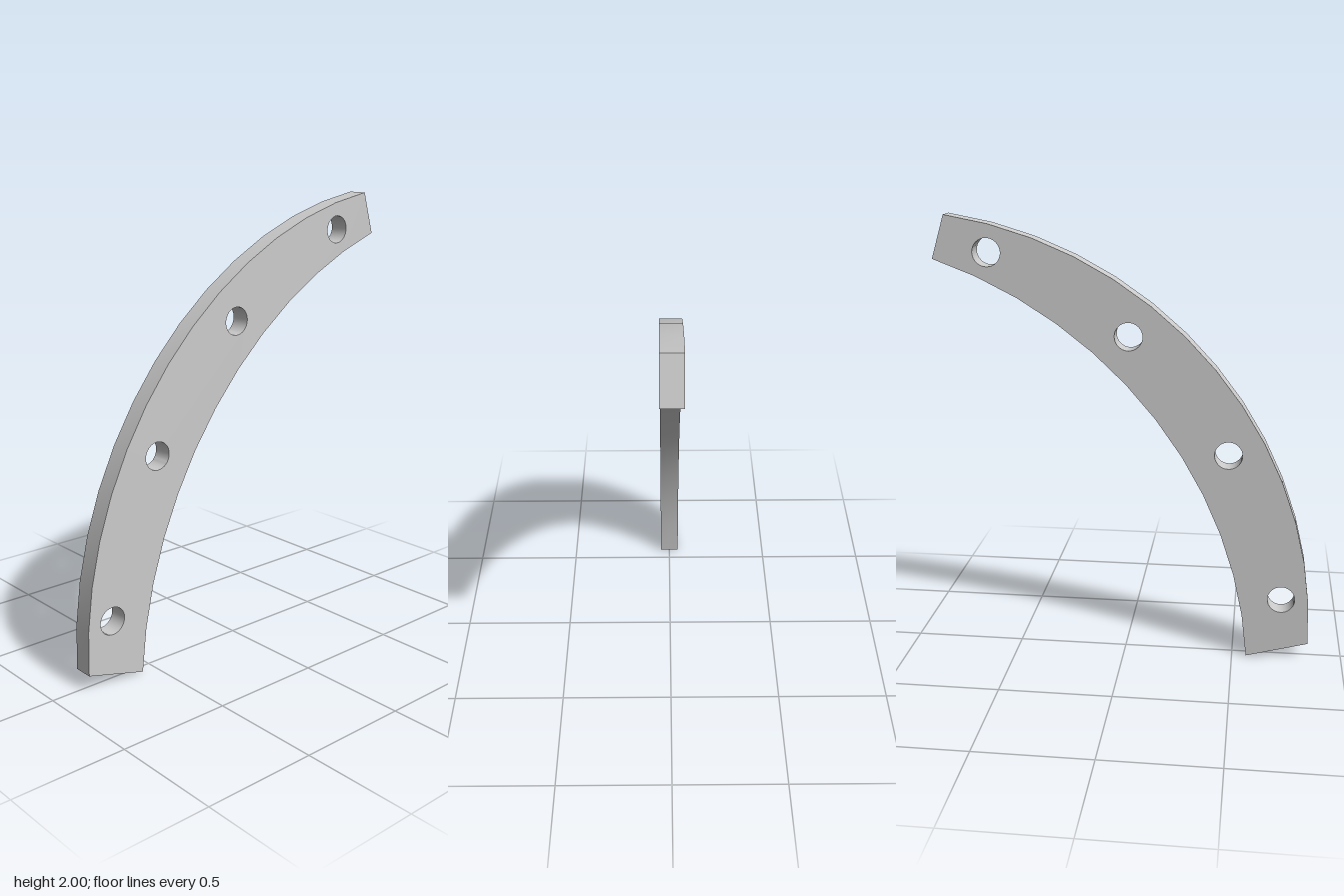
import * as THREE from 'three';
import { toCreasedNormals } from 'three/addons/utils/BufferGeometryUtils.js';

const THICKNESS = 0.09;
const HOLE_RADIUS = 0.062;
const HOLES = [[-0.717, 0.288], [-0.462, 0.964], [-0.016, 1.486], [0.602, 1.841]];

// Points of a clockwise arc from a to b that rises by sagitta above its chord
function arcPoints(a, b, sagitta, segments) {
  const chord = b.clone().sub(a);
  const length = chord.length();
  const radius = length * length / (8 * sagitta) + sagitta / 2;
  const inward = new THREE.Vector2(chord.y, -chord.x).normalize();
  const centre = a.clone().add(b).multiplyScalar(0.5).addScaledVector(inward, radius - sagitta);
  const start = a.clone().sub(centre).angle();
  const sweep = 2 * Math.asin(length / 2 / radius);
  return Array.from({ length: segments + 1 }, (_, i) => {
    const t = start - sweep * i / segments;
    return new THREE.Vector2(centre.x + radius * Math.cos(t), centre.y + radius * Math.sin(t));
  });
}

export function createModel() {
  const group = new THREE.Group();
  group.name = 'curvedBracket';

  // Outline: outer arc, slanted end, inner arc back, slanted foot
  const outer = arcPoints(new THREE.Vector2(-0.845, 0.075), new THREE.Vector2(0.785, 2), 0.482, 14);
  const inner = arcPoints(new THREE.Vector2(-0.565, 0), new THREE.Vector2(0.842, 1.81), 0.349, 12);
  const shape = new THREE.Shape([...outer, ...inner.reverse()]);

  // Bolt holes along the strip
  for (const [x, y] of HOLES) {
    shape.holes.push(new THREE.Path().absarc(x, y, HOLE_RADIUS, 0, Math.PI * 2, false));
  }

  // Flat plate with smooth curved walls and sharp rims
  const geometry = new THREE.ExtrudeGeometry(shape, {
    depth: THICKNESS, bevelEnabled: false, curveSegments: 16,
  });
  geometry.translate(0, 0, -THICKNESS / 2);
  const plate = new THREE.Mesh(
    toCreasedNormals(geometry, Math.PI / 6),
    new THREE.MeshStandardMaterial({ color: 0xcccccc }),
  );
  plate.name = 'curvedPlate';
  group.add(plate);
  return group;
}
